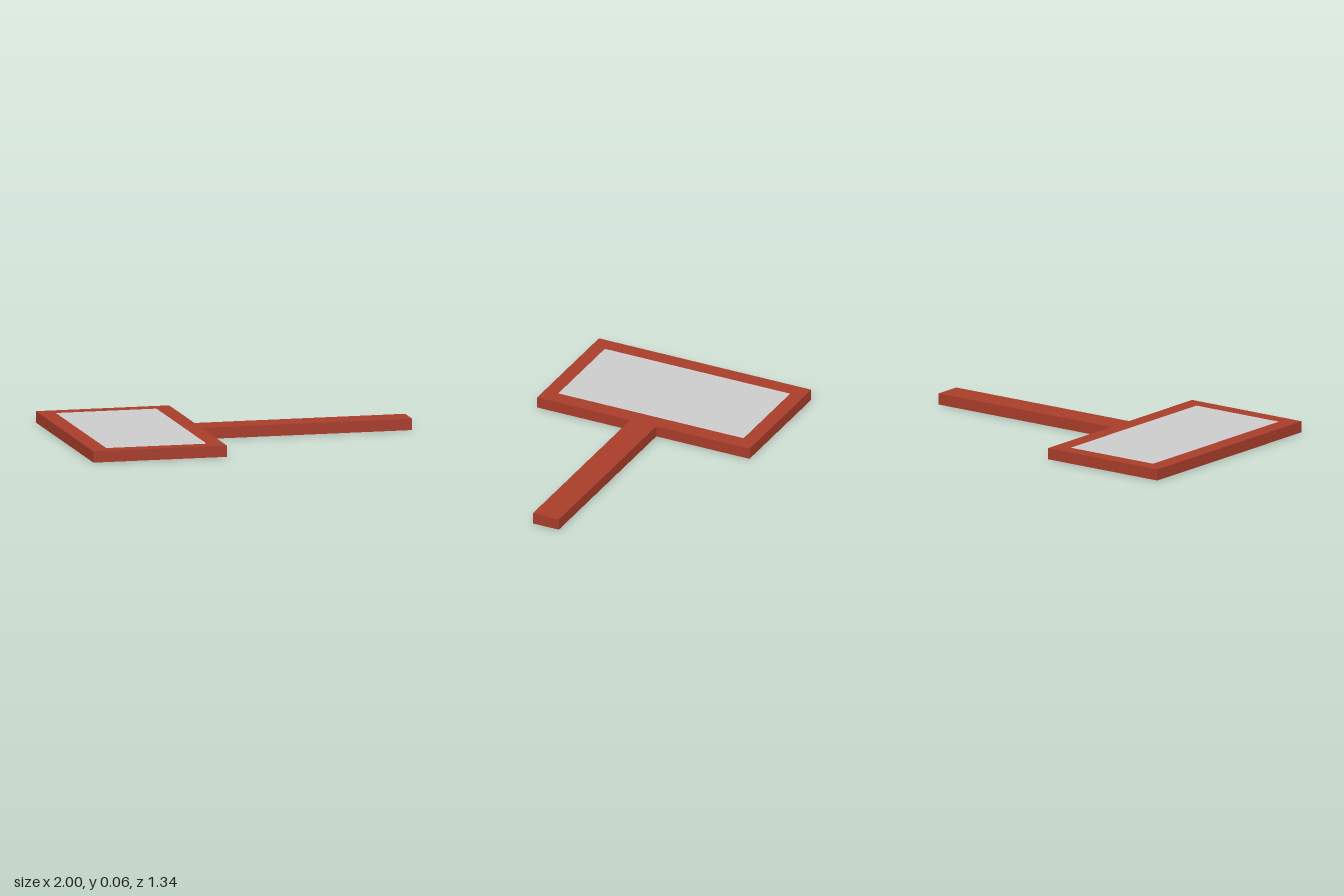
import * as THREE from 'three';

const HEIGHT = 0.065;
const PANEL = { x0: -0.905, x1: -0.32, z: 0.585 };

const toVectors = (points) => points.map(([x, y]) => new THREE.Vector2(x, y));

export function createModel() {
  const group = new THREE.Group();
  const red = new THREE.MeshStandardMaterial({ color: 0xa93d2b });
  const grey = new THREE.MeshStandardMaterial({ color: 0xcccccc });

  // Rectangular frame and handle in one piece, with an opening for the panel
  const outline = new THREE.Shape(toVectors([
    [-1, -0.67], [-0.225, -0.67], [-0.225, -0.082], [1, -0.082],
    [1, 0.082], [-0.225, 0.082], [-0.225, 0.67], [-1, 0.67],
  ]));
  outline.holes.push(new THREE.Path(toVectors([
    [PANEL.x0, -PANEL.z], [PANEL.x0, PANEL.z], [PANEL.x1, PANEL.z], [PANEL.x1, -PANEL.z],
  ])));
  const frameGeometry = new THREE.ExtrudeGeometry(outline, { depth: HEIGHT, bevelEnabled: false });
  frameGeometry.rotateX(-Math.PI / 2);
  const frame = new THREE.Mesh(frameGeometry, red);
  frame.name = 'frameAndHandle';
  group.add(frame);

  // Slabs filling the opening: closed back below, panel flush with the top
  const addInsert = (name, y0, y1, material) => {
    const slab = new THREE.Mesh(
      new THREE.BoxGeometry(PANEL.x1 - PANEL.x0, y1 - y0, 2 * PANEL.z), material);
    slab.position.set((PANEL.x0 + PANEL.x1) / 2, (y0 + y1) / 2, 0);
    slab.name = name;
    group.add(slab);
  };
  addInsert('backing', 0, HEIGHT / 2, red);
  addInsert('panel', HEIGHT / 2, HEIGHT, grey);

  return group;
}
